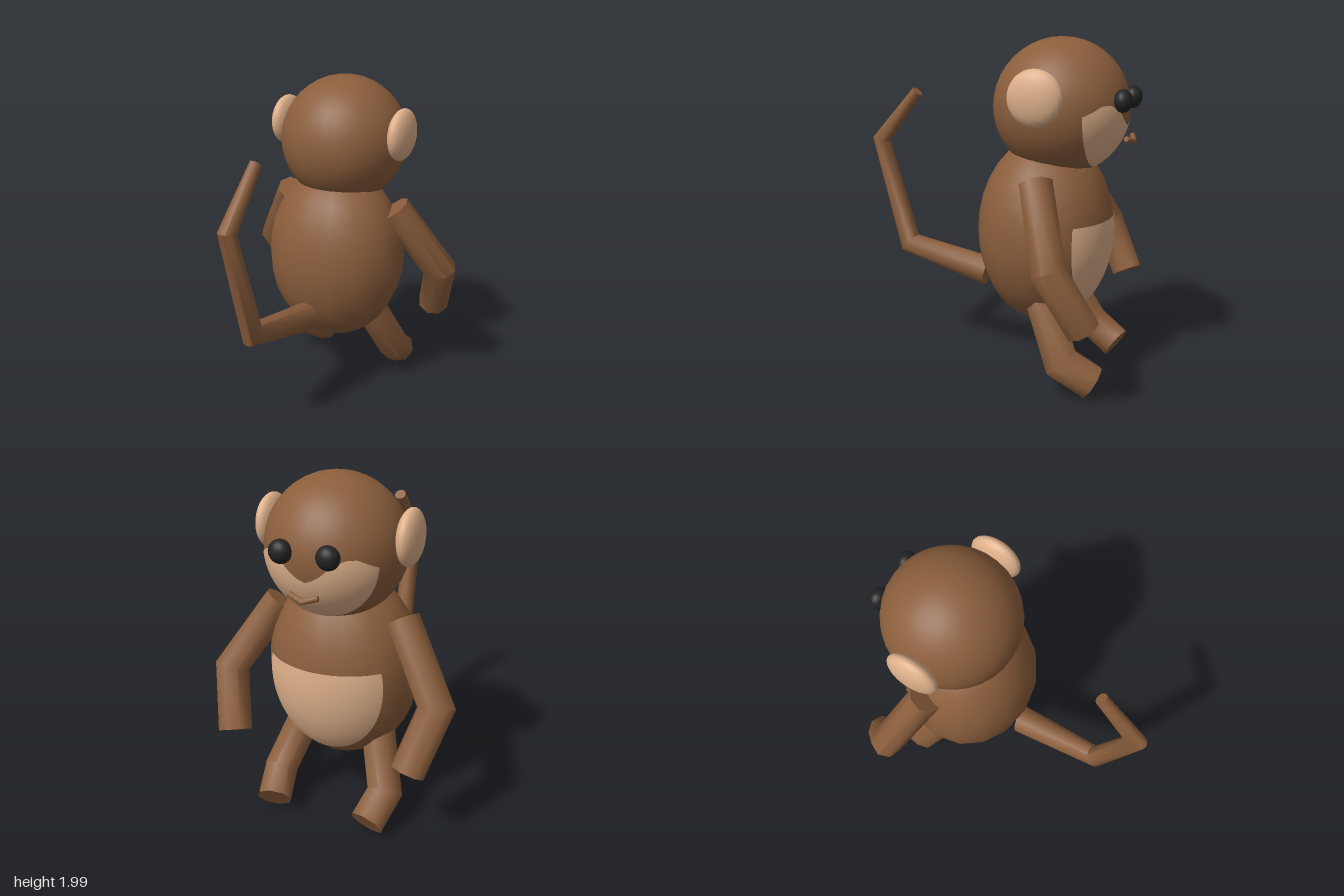
import * as THREE from 'three';
import { toCreasedNormals } from 'three/addons/utils/BufferGeometryUtils.js';

const V = (x, y, z) => new THREE.Vector3(x, y, z);

// Tapered limb with mitred joints and closed ends
function limbGeometry(points, radii, sides) {
  const dirs = points.slice(1).map((p, i) => p.clone().sub(points[i]).normalize());
  const u = V(1, 0, 0).addScaledVector(dirs[0], -dirs[0].x).normalize();
  const v = dirs[0].clone().cross(u);
  let offsets = [];
  for (let j = 0; j < sides; j++) {
    const a = (j / sides) * Math.PI * 2;
    offsets.push(u.clone().multiplyScalar(Math.cos(a)).addScaledVector(v, Math.sin(a)));
  }
  const pos = [], index = [];
  points.forEach((p, i) => {
    const before = dirs[Math.max(i - 1, 0)];
    const after = dirs[Math.min(i, dirs.length - 1)];
    const n = before.clone().add(after).normalize();
    offsets = offsets.map((o) => {
      const m = o.clone().addScaledVector(before, -o.dot(n) / before.dot(n));
      pos.push(...p.clone().addScaledVector(m, radii[i]).toArray());
      return m.addScaledVector(after, -m.dot(after));
    });
  });
  const last = points.length - 1;
  const startCap = points.length * sides;
  pos.push(...points[0].toArray(), ...points[last].toArray());
  for (let j = 0; j < sides; j++) {
    const k = (j + 1) % sides;
    for (let i = 0; i < last; i++) {
      const a = i * sides + j, b = i * sides + k;
      index.push(a, b, a + sides, b, b + sides, a + sides);
    }
    index.push(startCap, k, j, startCap + 1, last * sides + j, last * sides + k);
  }
  const g = new THREE.BufferGeometry();
  g.setAttribute('position', new THREE.Float32BufferAttribute(pos, 3));
  g.setIndex(index);
  return toCreasedNormals(g, 0.9);
}

// Thin painted skin over the -z side of an ellipsoid:
// reach = share of the radii it covers, top(x) = its upper edge
function patchGeometry(r, reach, top) {
  const cols = 48, rows = 20, pos = [], index = [];
  for (let i = 0; i <= cols; i++) {
    const s = Math.sin((i / cols - 0.5) * Math.PI) * 0.999;
    const x = s * reach * r.x;
    const h = Math.sqrt(1 - s * s) * reach * r.y;
    const upper = Math.max(-h, Math.min(h, top(Math.abs(x))));
    for (let j = 0; j <= rows; j++) {
      const y = -h + (upper + h) * (j / rows);
      pos.push(x, y, -r.z * Math.sqrt(1 - (x / r.x) ** 2 - (y / r.y) ** 2));
      if (i < cols && j < rows) {
        const a = i * (rows + 1) + j, b = a + rows + 1;
        index.push(a, a + 1, b, b, a + 1, b + 1);
      }
    }
  }
  const g = new THREE.BufferGeometry();
  g.setAttribute('position', new THREE.Float32BufferAttribute(pos, 3));
  g.setIndex(index);
  g.computeVertexNormals();
  return g;
}

// Piecewise linear rule through [x, y] points
function edgeRule(pts) {
  return (x) => {
    for (let i = 1; i < pts.length; i++) {
      const [x0, y0] = pts[i - 1], [x1, y1] = pts[i];
      if (x <= x1) return y0 + ((y1 - y0) * (x - x0)) / (x1 - x0);
    }
    return pts[pts.length - 1][1];
  };
}

export function createModel() {
  const model = new THREE.Group();
  model.name = 'monkey';

  const material = (name, color) => {
    const m = new THREE.MeshStandardMaterial({ color });
    m.name = name;
    return m;
  };
  const brown = material('brown fur', 0x8b5e3c);
  const tan = material('tan skin', 0xdeb08a);
  const black = material('black eyes', 0x222222);

  const add = (name, geometry, mat, center) => {
    const mesh = new THREE.Mesh(geometry, mat);
    mesh.name = name;
    if (center) mesh.position.copy(center);
    model.add(mesh);
    return mesh;
  };
  const ellipsoid = (name, center, r, mat, w, h) =>
    add(name, new THREE.SphereGeometry(1, w, h).scale(r.x, r.y, r.z), mat, center);

  // Body and head, with painted belly and muzzle
  const bodyCenter = V(0, 0.89, -0.32), bodyRadii = V(0.44, 0.557, 0.395);
  const headCenter = V(0, 1.612, -0.4), headRadii = V(0.388, 0.388, 0.388);
  ellipsoid('body', bodyCenter, bodyRadii, brown, 16, 16);
  ellipsoid('head', headCenter, headRadii, brown, 32, 20);

  add('belly', patchGeometry(bodyRadii.clone().multiplyScalar(1.005), 0.764, () => 0.1), tan, bodyCenter);
  const muzzleTop = edgeRule([[0, -0.09], [0.04, -0.075], [0.08, -0.05], [0.13, -0.005], [0.2, 0.035], [0.25, 0.035], [0.33, -0.02]]);
  add('muzzle', patchGeometry(headRadii.clone().multiplyScalar(1.008), 0.84, muzzleTop), tan, headCenter);

  // Mouth
  add('mouth', limbGeometry(
    [V(-0.08, 1.457, -0.795), V(0, 1.435, -0.82), V(0.08, 1.457, -0.795)],
    [0.016, 0.016, 0.016], 8), brown);

  // Paired parts
  for (const [side, s] of [['left', 1], ['right', -1]]) {
    ellipsoid(side + 'Ear', V(s * 0.402, 1.69, -0.375), V(0.063, 0.153, 0.153), tan, 24, 16);
    ellipsoid(side + 'Eye', V(s * 0.13, 1.667, -0.78), V(0.063, 0.063, 0.052), black, 16, 12);
    add(side + 'Arm', limbGeometry(
      [V(s * 0.37, 1.23, -0.38), V(s * 0.625, 0.83, -0.54), V(s * 0.53, 0.51, -0.7)],
      [0.098, 0.098, 0.098], 8), brown);
    add(side + 'Leg', limbGeometry(
      [V(s * 0.23, 0.52, -0.38), V(s * 0.335, 0.21, -0.53), V(s * 0.295, 0.1, -0.7)],
      [0.103, 0.103, 0.103], 8), brown);
  }

  // Tail
  add('tail', limbGeometry(
    [V(0, 0.575, 0.05), V(0, 0.7, 0.59), V(0, 1.36, 0.775), V(0, 1.665, 0.515)],
    [0.09, 0.064, 0.05, 0.035], 12), brown);

  return model;
}
